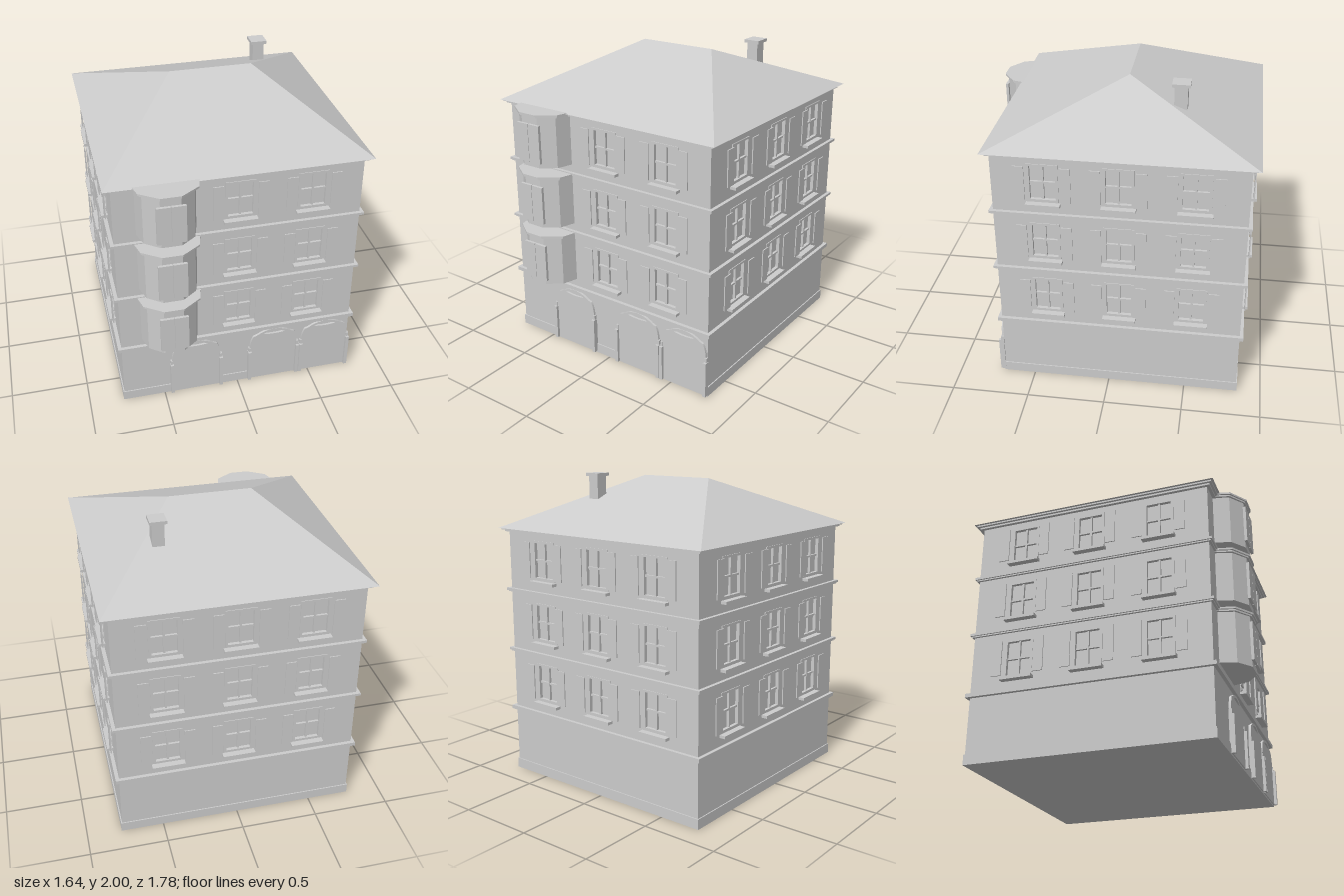
import * as THREE from 'three';

const stone = new THREE.MeshStandardMaterial({ color: 0xcccccc });
stone.name = 'pale grey';

const HALF = 0.77;                    // half width of the square house
const FLOORS = [0.655, 1.06, 1.465];  // window centre heights
const COLUMNS = [-0.455, 0, 0.455];   // window centres along a wall

function add(parent, name, geometry, x = 0, y = 0, z = 0) {
  const mesh = new THREE.Mesh(geometry, stone);
  mesh.name = name;
  mesh.position.set(x, y, z);
  parent.add(mesh);
  return mesh;
}

// Box given by its limits
function block(parent, name, x0, x1, y0, y1, z0, z1) {
  return add(parent, name, new THREE.BoxGeometry(x1 - x0, y1 - y0, z1 - z0),
    (x0 + x1) / 2, (y0 + y1) / 2, (z0 + z1) / 2);
}

// Square slab running all round the house
function band(parent, name, half, y0, y1) {
  return block(parent, name, -half, half, y0, y1, -half, half);
}

function rectangle(Type, x, y, w, h) {
  return new Type([[-1, -1], [1, -1], [1, 1], [-1, 1]]
    .map(([a, b]) => new THREE.Vector2(x + a * w / 2, y + b * h / 2)));
}

function extrude(shape, depth) {
  return new THREE.ExtrudeGeometry(shape, { depth, bevelEnabled: false, curveSegments: 10 });
}

// Window with frame, crossbars, sill and a pair of shutters
function makeWindow(x, y) {
  const g = new THREE.Group();
  g.name = 'window';
  g.position.set(x, y, HALF);
  const frame = rectangle(THREE.Shape, 0, 0, 0.19, 0.25);
  frame.holes.push(rectangle(THREE.Path, 0, 0, 0.156, 0.222));
  add(g, 'windowFrame', extrude(frame, 0.022), 0, 0, -0.017);
  block(g, 'uprightBar', -0.006, 0.006, -0.111, 0.111, -0.02, -0.004);
  block(g, 'crossBar', -0.078, 0.078, -0.006, 0.006, -0.02, -0.005);
  block(g, 'windowSill', -0.105, 0.105, -0.15, -0.132, -0.005, 0.04);
  for (const s of [-1, 1]) {
    block(g, 'shutter', s * 0.139 - 0.033, s * 0.139 + 0.033, -0.115, 0.115, 0.018, 0.025);
  }
  return g;
}

// Upper wall with window openings; the core behind it forms the panes
function makeWall(isFront) {
  const g = new THREE.Group();
  g.name = isFront ? 'frontWall' : 'wall';
  const shape = rectangle(THREE.Shape, 0, 1.045, HALF * 2, 1.21);
  for (const y of FLOORS) {
    for (const x of COLUMNS) {
      if (isFront && x < 0) continue;
      shape.holes.push(rectangle(THREE.Path, x, y, 0.17, 0.23));
      g.add(makeWindow(x, y));
    }
  }
  add(g, 'wallPanel', extrude(shape, 0.02), 0, 0, HALF - 0.02);
  return g;
}

// Upright prism from a plan of x, z points
function planPrism(points, height) {
  const shape = new THREE.Shape(points.map(([x, z]) => new THREE.Vector2(x, -z)));
  return extrude(shape, height).rotateX(-Math.PI / 2);
}

// Faceted bay for one storey
function makeBay(y) {
  const g = new THREE.Group();
  g.name = 'bay';
  g.position.set(-0.452, y, HALF);
  const plan = (w, d) => [[-0.182 - w, -0.02], [-0.182 - w, 0], [-0.154 - w, 0.1 + d / 2],
    [-0.062, 0.17 + d], [0.062, 0.17 + d], [0.154 + w, 0.1 + d / 2], [0.182 + w, 0], [0.182 + w, -0.02]];
  add(g, 'bayBody', planPrism(plan(0, 0), 0.335), 0, -0.155, 0);
  add(g, 'bayCapLower', planPrism(plan(0.014, 0.012), 0.01), 0, 0.173, 0);
  add(g, 'bayCap', planPrism(plan(0.024, 0.022), 0.012), 0, 0.183, 0);
  for (const s of [-1, 1]) {
    block(g, 'bayShutter', s * 0.045 - 0.0435, s * 0.045 + 0.0435, -0.12, 0.127, 0.17, 0.188);
  }
  return g;
}

// Shallow arched portal between two pilasters
function makeArch(x) {
  const g = new THREE.Group();
  g.name = 'arch';
  g.position.set(x, 0, HALF);
  const s = new THREE.Shape();
  s.moveTo(-0.165, 0.01);
  s.lineTo(0.165, 0.01);
  s.lineTo(0.165, 0.27);
  s.quadraticCurveTo(0.16, 0.34, 0.14, 0.37);
  s.lineTo(0.115, 0.38);
  s.quadraticCurveTo(0, 0.455, -0.115, 0.38);
  s.lineTo(-0.14, 0.37);
  s.quadraticCurveTo(-0.16, 0.34, -0.165, 0.27);
  s.closePath();
  const slit = new THREE.Path();
  slit.moveTo(-0.075, 0.383);
  slit.quadraticCurveTo(0, 0.422, 0.075, 0.383);
  slit.quadraticCurveTo(0, 0.37, -0.075, 0.383);
  s.holes.push(slit);
  add(g, 'archPanel', extrude(s, 0.015));
  for (const side of [-1, 1]) {
    block(g, 'pilaster', side * 0.165 - 0.011, side * 0.165 + 0.011, 0.01, 0.25, 0, 0.034);
    block(g, 'pilasterCap', side * 0.165 - 0.008, side * 0.165 + 0.008, 0.25, 0.28, 0, 0.02);
  }
  return g;
}

export function createModel() {
  const model = new THREE.Group();
  model.name = 'townHouse';
  const house = new THREE.Group();
  house.name = 'house';
  house.position.z = -0.07;
  model.add(house);

  // Body
  band(house, 'groundFloor', HALF, 0, 0.44);
  band(house, 'plinth', HALF + 0.007, 0, 0.065);
  band(house, 'core', HALF - 0.02, 0.44, 1.65);
  for (let i = 0; i < 4; i++) {
    const wall = makeWall(i === 0);
    wall.rotation.y = i * Math.PI / 2;
    house.add(wall);
  }

  // String courses and eaves
  band(house, 'lowerCourse', 0.793, 0.425, 0.45);
  for (const y of [0.832, 1.237]) {
    band(house, 'courseStep', 0.784, y, y + 0.008);
    band(house, 'course', 0.793, y + 0.008, y + 0.024);
  }
  band(house, 'corniceStep', 0.79, 1.633, 1.645);
  band(house, 'cornice', 0.805, 1.645, 1.655);

  // Hipped roof: box with its top drawn in to a ridge
  let roof = new THREE.BoxGeometry(1.64, 0.32, 1.64).toNonIndexed();
  const p = roof.attributes.position;
  for (let i = 0; i < p.count; i++) {
    if (p.getY(i) > 0) {
      p.setX(i, Math.sign(p.getX(i)) * 0.265);
      p.setZ(i, 0);
    }
  }
  roof.computeVertexNormals();
  add(house, 'roof', roof, 0, 1.815, 0);

  // Chimney
  block(house, 'chimney', 0.36, 0.435, 1.75, 1.98, -0.365, -0.285);
  block(house, 'chimneyCap', 0.345, 0.45, 1.98, 2.0, -0.38, -0.27);

  // Front details
  for (const y of FLOORS) house.add(makeBay(y));
  for (const x of [-0.283, 0.245, 0.602]) house.add(makeArch(x));
  return model;
}
